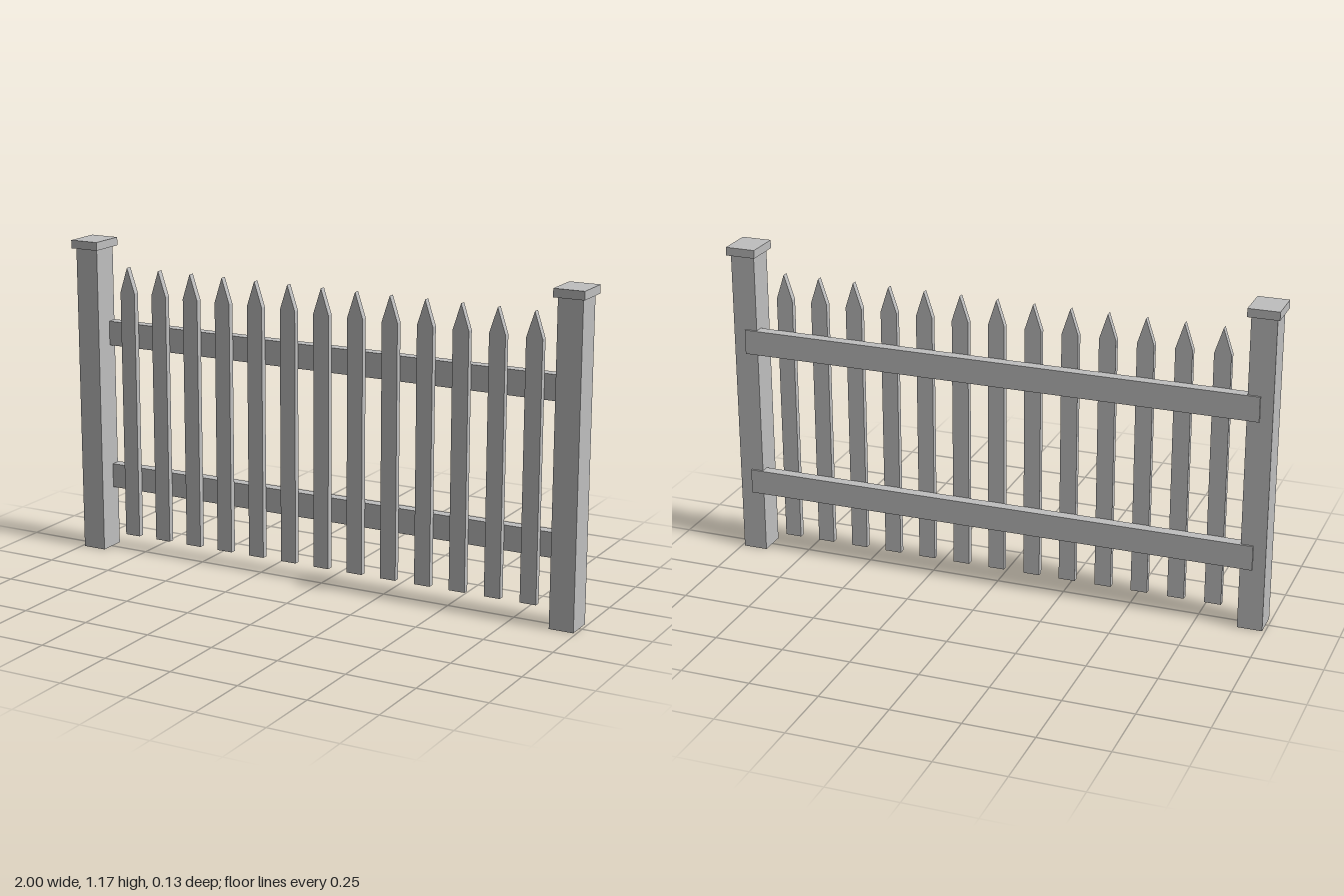
import * as THREE from 'three';

export function createModel() {
  const group = new THREE.Group();
  group.name = 'picketFence';
  const paint = new THREE.MeshStandardMaterial({ color: 0xbfbfbf });
  paint.name = 'light grey paint';

  function add(name, geometry, x, y, z) {
    const mesh = new THREE.Mesh(geometry, paint);
    mesh.name = name;
    mesh.position.set(x, y, z);
    group.add(mesh);
  }

  // Square end posts with flat overhanging caps
  const postGeo = new THREE.BoxGeometry(0.089, 1.137, 0.102);
  const capGeo = new THREE.BoxGeometry(0.11, 0.03, 0.134);
  for (const [side, sx] of [['left', 1], ['right', -1]]) {
    add(side + 'Post', postGeo, sx * 0.945, 1.137 / 2, 0);
    add(side + 'PostCap', capGeo, sx * 0.945, 1.152, 0);
  }

  // Horizontal rails behind the pickets, let into the posts
  const railGeo = new THREE.BoxGeometry(1.89, 0.09, 0.04);
  add('lowerRail', railGeo, 0, 0.272, -0.038);
  add('upperRail', railGeo, 0, 0.816, -0.038);

  // Pointed pickets
  const half = 0.03;
  const outline = new THREE.Shape([
    new THREE.Vector2(-half, 0.058),
    new THREE.Vector2(half, 0.058),
    new THREE.Vector2(half, 0.98),
    new THREE.Vector2(0, 1.072),
    new THREE.Vector2(-half, 0.98),
  ]);
  const picketGeo = new THREE.ExtrudeGeometry(outline, { depth: 0.023, bevelEnabled: false });
  const count = 13;
  for (let i = 0; i < count; i++) {
    add('picket' + (i + 1), picketGeo, -0.802 + (1.604 * i) / (count - 1), 0, -0.018);
  }

  return group;
}
